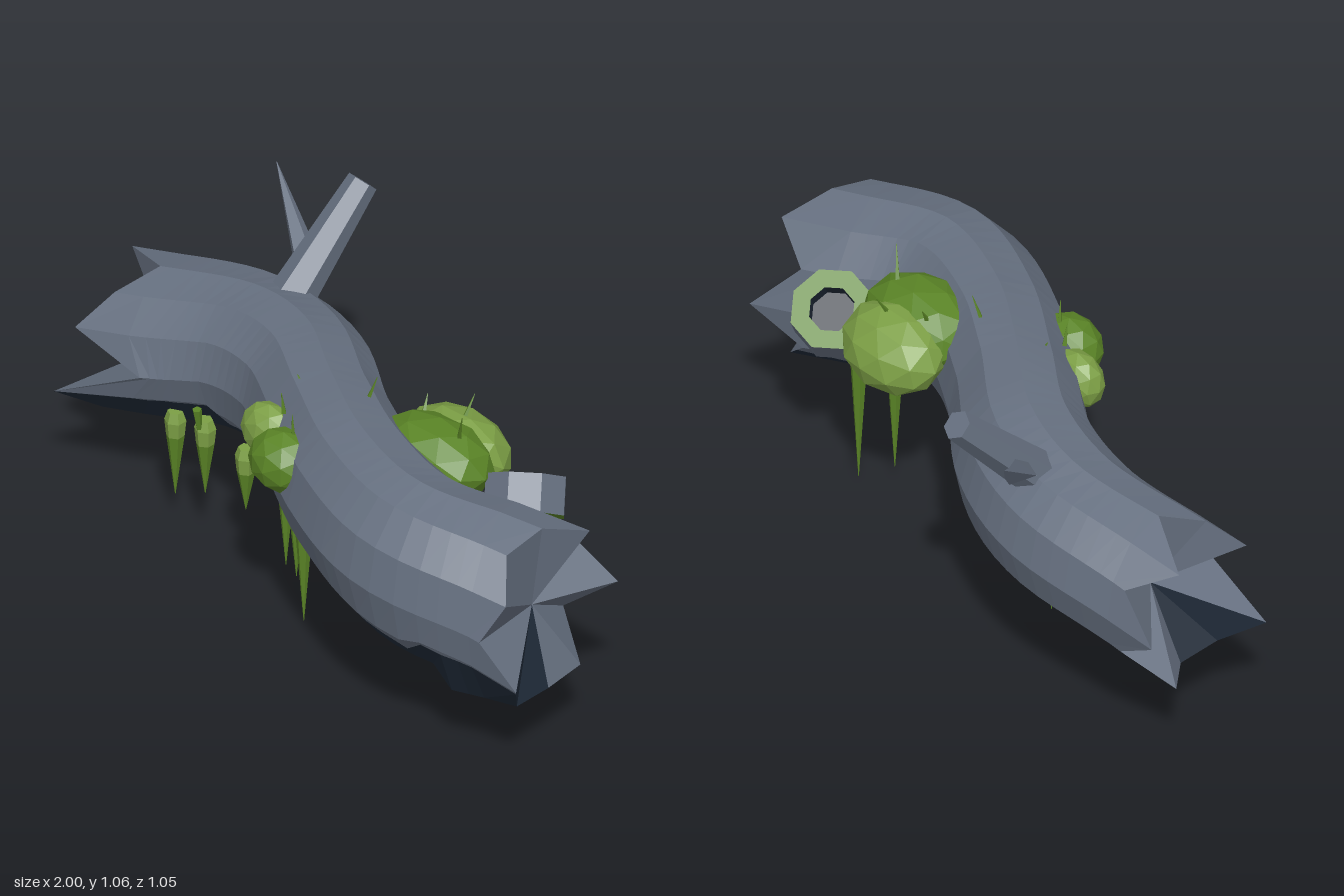
import * as THREE from 'three';

const mat = (name, color) => {
  const m = new THREE.MeshStandardMaterial({ color, flatShading: true, side: THREE.DoubleSide });
  m.name = name;
  return m;
};
const V = (x, y, z) => new THREE.Vector3(x, y, z);

export function createModel() {
  const group = new THREE.Group();
  const bark = mat('greyBark', 0x667080);
  const under = mat('darkUnderside', 0x1f2a38);
  const moss = mat('moss', 0x5a8426);
  const lightMoss = mat('lightMoss', 0x7c9f45);

  let seed = 7;
  const rand = () => (seed = (seed * 16807) % 2147483647) / 2147483647;
  const add = (name, geo, material) => {
    const mesh = new THREE.Mesh(geo, material);
    mesh.name = name;
    group.add(mesh);
    return mesh;
  };
  const lathe = (pts, sides, start = 0) =>
    new THREE.LatheGeometry(pts.map(([r, y]) => new THREE.Vector2(r, y)), sides, start);

  // Trunk: S-shaped sweep with splintered ends
  const spine = new THREE.CatmullRomCurve3([
    V(-0.84, 0.52, -0.1), V(-0.5, 0.585, -0.16), V(-0.25, 0.61, -0.1), V(0, 0.615, 0.07),
    V(0.25, 0.61, 0.22), V(0.55, 0.585, 0.305), V(0.84, 0.535, 0.22),
  ]);
  const widths = [0.235, 0.22, 0.205, 0.195, 0.205, 0.22, 0.25];
  const heights = [0.23, 0.23, 0.235, 0.24, 0.25, 0.265, 0.27];
  const angles = [0, 30, 60, 90, 120, 150, 180, 210, 225, 240, 270, 300, 315, 330];
  const tipsLeft = [-0.12, 0.12, 0.04, -0.04, 0.13, 0, 0.12, -0.02, 0.05, 0.12, 0.04, 0.08, 0.12, 0.19];
  const tipsRight = [0, 0.07, 0.03, 0.08, 0.17, 0.05, 0.2, 0.04, 0.1, 0.14, 0.1, 0.06, 0.08, 0.105];
  const N = 36, S = angles.length, BACK = 8, FRONT = 12;
  const at = (list, t) => {
    const f = t * (list.length - 1), i = Math.min(Math.floor(f), list.length - 2);
    return list[i] + (list[i + 1] - list[i]) * (f - i);
  };
  const rings = [];
  for (let j = 0; j <= N; j++) {
    const t = j / N, c = spine.getPointAt(t), T = spine.getTangentAt(t);
    const sideways = V(-T.z, 0, T.x).normalize();
    const w = at(widths, t), h = at(heights, t);
    const ring = angles.map((deg, k) => {
      const a = THREE.MathUtils.degToRad(deg);
      const r = 1 + 0.02 * Math.sin(k * 5.1 + j * 0.3);
      const p = c.clone().addScaledVector(sideways, Math.cos(a) * w * r);
      p.y += Math.sin(a) * h * r;
      if (j === 0) p.addScaledVector(T, -tipsLeft[k]);
      else if (j < 4) p.addScaledVector(T, -Math.min(tipsLeft[k], 0) * (1 - j / 4));
      if (j === N) p.addScaledVector(T, tipsRight[k]);
      // Flat heel under the right end
      if (t > 0.9 && (k === 10 || k === 11)) p.y = 0.263;
      return p;
    });
    // Ragged colour edge slides along the flat between its two neighbours
    const nearEnd = t < 0.2 || t > 0.88;
    if (nearEnd) ring[FRONT + 1].lerp(ring[0], j > 0 && j < N ? 0.2 : 0);
    const frontDrop = nearEnd ? 0.1 * rand() : 0.1 + 0.8 * rand();
    const backDrop = 0.15 + 0.8 * rand();
    ring[FRONT].lerpVectors(ring[FRONT + 1], ring[FRONT - 1], frontDrop);
    ring[BACK].lerpVectors(ring[BACK - 1], ring[BACK + 1], backDrop);
    rings.push(ring);
  }
  const faces = { bark: [], under: [] };
  const tri = (key, ...pts) => pts.forEach((p) => faces[key].push(p.x, p.y, p.z));
  const leftCore = V(-0.77, 0.51, -0.11), rightCore = V(0.87, 0.515, 0.19);
  for (let k = 0; k < S; k++) {
    const n = (k + 1) % S;
    const key = k >= BACK && k < FRONT ? 'under' : 'bark';
    for (let j = 0; j < N; j++) {
      const a = rings[j], b = rings[j + 1];
      tri(key, a[k], b[k], b[n]);
      tri(key, a[k], b[n], a[n]);
    }
    const capKey = k >= 10 && k <= FRONT ? 'under' : 'bark';
    tri(capKey, leftCore, rings[0][k], rings[0][n]);
    tri(capKey, rightCore, rings[N][n], rings[N][k]);
  }
  const soup = (list) => {
    const g = new THREE.BufferGeometry();
    g.setAttribute('position', new THREE.Float32BufferAttribute(list, 3));
    g.computeVertexNormals();
    return g;
  };
  add('trunk', soup(faces.bark), bark);
  add('trunkUnderside', soup(faces.under), under);

  // Tapered rod between two points
  const rod = (name, from, to, r0, r1, sides, material) => {
    const d = to.clone().sub(from);
    const m = add(name, new THREE.CylinderGeometry(r1, r0, d.length(), sides), material);
    m.position.copy(from).addScaledVector(d, 0.5);
    m.quaternion.setFromUnitVectors(V(0, 1, 0), d.normalize());
  };
  rod('branch', V(-0.425, 0.72, -0.19), V(-0.385, 1.04, -0.495), 0.07, 0.045, 6, bark);
  rod('twig', V(-0.42, 0.81, -0.31), V(-0.67, 1.0, -0.45), 0.045, 0.001, 5, bark);

  // Hollow knot: octagonal tube with mossy rims and a dark hollow
  const knot = new THREE.Group();
  knot.name = 'hollowKnot';
  [['knotWall', bark, [[0.122, -0.11], [0.122, 0]]],
    ['knotRim', moss, [[0.122, 0], [0.067, 0]]],
    ['knotLowerRim', moss, [[0.067, -0.11], [0.122, -0.11]]],
    ['knotHollow', under, [[0.067, 0], [0.067, -0.11]]],
    ['knotFloor', under, [[0.067, -0.06], [0, -0.06]]]].forEach(([name, m, pts]) => {
    const mesh = new THREE.Mesh(lathe(pts, 8, Math.PI / 10), m);
    mesh.name = name;
    knot.add(mesh);
  });
  knot.position.set(0.6, 0.69, -0.085);
  knot.quaternion.setFromUnitVectors(V(0, 1, 0), V(-0.38, 0.76, -0.5).normalize());
  group.add(knot);

  // Moss clumps
  const clump = (name, m, x, y, z, sx, sy, sz, tilt = 0) => {
    const mesh = add(name, new THREE.IcosahedronGeometry(1, 1), m);
    mesh.position.set(x, y, z);
    mesh.scale.set(sx, sy, sz);
    mesh.rotation.x = tilt;
  };
  clump('topMoss', moss, 0.365, 0.72, 0.04, 0.195, 0.115, 0.14, -0.25);
  clump('topMossLight', lightMoss, 0.355, 0.69, -0.07, 0.175, 0.115, 0.135, -0.6);
  clump('frontMossLight', lightMoss, -0.095, 0.685, 0.22, 0.092, 0.088, 0.065);
  clump('frontMoss', moss, 0.035, 0.685, 0.305, 0.108, 0.095, 0.09);

  // Hanging moss drips: [x, top, tip, z]
  [[-0.63, 0.41, 0.13, 0.02], [-0.49, 0.46, 0.21, 0.05], [-0.35, 0.42, 0.21, 0.035],
    [-0.23, 0.42, 0.06, 0], [-0.15, 0.42, 0.08, 0.045], [-0.05, 0.42, 0.015, 0.125],
    [0.53, 0.56, 0.09, 0.09], [0.61, 0.56, 0.045, 0.025]].forEach(([x, top, tip, z]) => {
    const waist = top - 0.08;
    add('mossDrip', lathe([[0.001, tip], [0.027, waist]], 6), moss).position.set(x, 0, z);
    add('mossDripBulb', lathe([[0.027, waist], [0.032, top - 0.03], [0.022, top], [0, top]], 6), lightMoss)
      .position.set(x, 0, z);
  });
  rod('mossSprig', V(-0.49, 0.44, 0.075), V(-0.49, 0.51, 0.085), 0.008, 0.014, 5, moss);

  // Fine grass blades: [base, tip]
  [[[0.14, 0.8, 0.08], [0.17, 0.905, 0.06]], [[0.45, 0.8, 0.03], [0.49, 0.91, 0.06]],
    [[0.38, 0.78, -0.06], [0.385, 0.86, -0.11]], [[0.28, 0.79, -0.01], [0.27, 0.845, -0.04]],
    [[0.05, 0.75, 0.28], [0.055, 0.84, 0.29]], [[-0.04, 0.77, 0.22], [-0.04, 0.84, 0.23]],
    [[0.17, 0.8, 0.18], [0.18, 0.85, 0.2]], [[-0.05, 0.8, 0.12], [-0.07, 0.84, 0.13]],
  ].forEach(([a, b]) => rod('grassBlade', V(...a), V(...b), 0.009, 0.001, 4, moss));

  return group;
}
